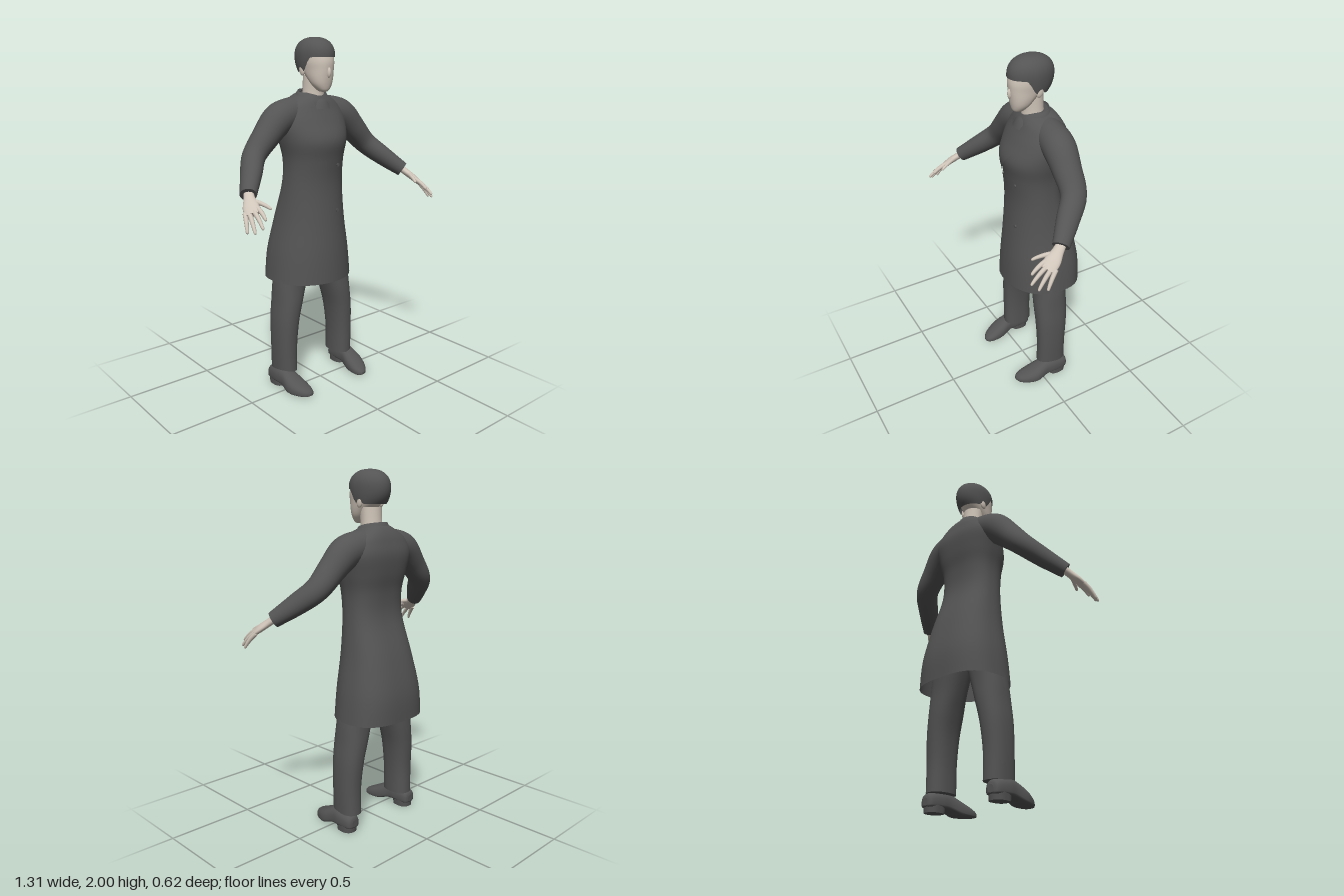
import * as THREE from 'three';

const cloth = new THREE.MeshStandardMaterial({ color: 0x545455, side: THREE.DoubleSide });
cloth.name = 'dark grey';
const skin = new THREE.MeshStandardMaterial({ color: 0xd0c5b9 });
skin.name = 'skin';
const V = (x, y, z) => new THREE.Vector3(x, y, z);
const spow = (v, e) => Math.sign(v) * Math.pow(Math.abs(v), e);

// Surface through rows of points; wrap joins each row into a ring
function grid(rows, wrap = true, caps = [false, false]) {
  const n = rows[0].length, pos = rows.flat().flatMap(p => [p.x, p.y, p.z]), idx = [];
  for (let i = 0; i < rows.length - 1; i++)
    for (let j = 0; j < (wrap ? n : n - 1); j++) {
      const k = (j + 1) % n, a = i * n + j, b = a + n, c = i * n + k, d = c + n;
      idx.push(a, b, c, c, b, d);
    }
  [0, rows.length - 1].forEach((r, e) => {
    if (!caps[e]) return;
    const start = pos.length / 3, mid = V(0, 0, 0);
    rows[r].forEach(p => { mid.addScaledVector(p, 1 / n); pos.push(p.x, p.y, p.z); });
    pos.push(mid.x, mid.y, mid.z);
    for (let j = 0; j < n; j++) {
      const a = start + j, b = start + (j + 1) % n;
      idx.push(start + n, ...(e ? [b, a] : [a, b]));
    }
  });
  const g = new THREE.BufferGeometry();
  g.setAttribute('position', new THREE.Float32BufferAttribute(pos, 3));
  g.setIndex(idx);
  g.computeVertexNormals();
  return g;
}

function mirrored(g) {
  const m = g.clone().scale(-1, 1, 1);
  const ix = m.index.array;
  for (let i = 0; i < ix.length; i += 3) [ix[i], ix[i + 1]] = [ix[i + 1], ix[i]];
  m.computeVertexNormals();
  return m;
}

// Smoothly fill in extra sections between the given ones
function smooth(keys, steps = 5) {
  const out = [], at = i => keys[Math.min(Math.max(i, 0), keys.length - 1)];
  for (let i = 0; i < keys.length - 1; i++)
    for (let s = 0; s < steps; s++) {
      const t = s / steps;
      out.push(keys[i].map((b, k) => {
        const a = at(i - 1)[k], c = at(i + 1)[k], d = at(i + 2)[k];
        return b + 0.5 * t * (c - a + t * (2 * a - 5 * b + 4 * c - d + t * (3 * (b - c) + d - a)));
      }));
    }
  out.push(keys.at(-1));
  return out;
}

// Upright body from sections [y, centre x, half width, front z, back z]
const split = (f, b) => f * 0.45 + b * 0.55;
function upright(sections, nf = 2, nb = 2, caps = [true, true], seg = 40) {
  return grid(sections.map(([y, cx, rx, f, b]) => Array.from({ length: seg }, (_, j) => {
    const a = j / seg * Math.PI * 2, s = Math.sin(a), e = 2 / (s >= 0 ? nf : nb), m = split(f, b);
    return V(cx + rx * spow(Math.cos(a), e), y, m + (s >= 0 ? f - m : m - b) * spow(s, e));
  })), true, caps);
}

// Limb along a path of [x, y, z, radius across, radius through]; side sets the across direction
function limb(keys, side, seg = 20, steps = 5) {
  const pts = smooth(keys, steps);
  return grid(pts.map((p, i) => {
    const q = pts[Math.max(i - 1, 0)], r = pts[Math.min(i + 1, pts.length - 1)];
    const t = V(r[0] - q[0], r[1] - q[1], r[2] - q[2]).normalize();
    const n = side.clone().addScaledVector(t, -side.dot(t)).normalize(), b = t.clone().cross(n);
    return Array.from({ length: seg }, (_, j) => {
      const a = j / seg * Math.PI * 2;
      return V(p[0], p[1], p[2]).addScaledVector(n, p[3] * Math.cos(a)).addScaledVector(b, -p[4] * Math.sin(a));
    });
  }), true, [true, true]);
}

const coatSections = smooth([
  [0.64, 0, 0.255, 0.115, -0.31], [0.8, 0, 0.238, 0.108, -0.305], [1.0, 0, 0.203, 0.09, -0.26],
  [1.2, 0, 0.18, 0.077, -0.195], [1.34, 0, 0.178, 0.09, -0.19], [1.45, 0, 0.2, 0.105, -0.21],
  [1.55, 0, 0.215, 0.065, -0.22], [1.62, 0, 0.19, 0.032, -0.205], [1.66, 0, 0.145, 0.018, -0.19],
  [1.69, 0, 0.095, 0.0, -0.17], [1.705, 0, 0.07, -0.015, -0.15]]);

// Depth of the coat's front (or back) at a given x and y
function coatZ(x, y, back = false) {
  const i = Math.max(coatSections.findIndex(s => s[0] >= y), 1);
  const p = coatSections[i - 1], q = coatSections[i], t = (y - p[0]) / (q[0] - p[0]);
  const [, , rx, f, b] = p.map((v, k) => v + (q[k] - v) * t);
  const m = split(f, b), n = back ? 2.7 : 2.1;
  const h = Math.pow(1 - Math.pow(Math.min(Math.abs(x / rx), 1), n), 1 / n);
  return back ? m - (m - b) * h : m + (f - m) * h;
}

// Thin cloth layer lying on the coat between two edges of [x, y] points
function layer(left, right, back = false, lift = 0.006) {
  const a = smooth(left, 8), b = smooth(right, 8);
  return grid(a.map((p, i) => Array.from({ length: 9 }, (_, j) => {
    const t = j / 8, x = p[0] + (b[i][0] - p[0]) * t, y = p[1] + (b[i][1] - p[1]) * t;
    return V(x, y, coatZ(x, y, back) + (back ? -lift : lift));
  })), false);
}

export function createModel() {
  const root = new THREE.Group();
  const add = (name, geo, mat) => {
    const m = new THREE.Mesh(geo, mat);
    m.name = name;
    root.add(m);
    return m;
  };
  const pair = (name, geo, mat) => {
    add('left ' + name, geo, mat);
    add('right ' + name, mirrored(geo), mat);
  };

  // Coat with open hem, lapels, front overlap and back vent
  add('coat', upright(coatSections, 2.1, 2.7, [false, true], 56), cloth);
  add('left lapel', layer([[-0.09, 1.34], [-0.066, 1.44], [-0.02, 1.535], [0.07, 1.68]],
    [[-0.08, 1.34], [0.0, 1.44], [0.09, 1.56], [0.115, 1.66]]), cloth);
  add('right lapel', layer([[-0.1, 1.36], [-0.11, 1.44], [-0.115, 1.56], [-0.115, 1.66]],
    [[-0.09, 1.36], [-0.066, 1.44], [-0.025, 1.53], [-0.07, 1.68]], false, 0.004), cloth);
  add('front overlap', layer([[-0.095, 0.642], [-0.092, 1.0], [-0.09, 1.34]],
    [[0.0, 0.642], [0.0, 1.0], [-0.03, 1.34]], false, 0.005), cloth);
  add('back vent', layer([[-0.015, 0.642], [-0.015, 0.9]], [[0.03, 0.642], [0.015, 0.9]], true, 0.004), cloth);
  for (const y of [1.05, 1.31]) {
    const button = add('button', new THREE.CylinderGeometry(0.009, 0.009, 0.008, 12).rotateX(Math.PI / 2), cloth);
    button.position.set(0.06, y, coatZ(0.06, y) + 0.003);
  }

  // Folded collar around the back of the neck, and shirt neckband
  add('collar', grid([[0.078, 0], [0.085, 0.012], [0.1, -0.015], [0.118, -0.04]].map(([r, dy]) =>
    Array.from({ length: 33 }, (_, j) => {
      const a = (j / 16 - 1) * 2.35, u = Math.abs(a) / 2.35;
      return V(r * Math.sin(a), 1.71 + dy - 0.035 * u * u, -0.07 - r * 0.9 * Math.cos(a));
    })), false), cloth);
  add('shirt neckband', upright(smooth([[1.62, 0, 0.1, 0.045, -0.15], [1.655, 0, 0.078, 0.028, -0.13],
    [1.675, 0, 0.068, 0.01, -0.125]], 3)), cloth);

  // Sleeves
  pair('sleeve', limb([[0.05, 1.615, -0.1, 0.075, 0.075], [0.14, 1.595, -0.095, 0.086, 0.085],
    [0.225, 1.565, -0.088, 0.088, 0.088], [0.31, 1.485, -0.08, 0.078, 0.075],
    [0.4, 1.39, -0.065, 0.07, 0.062], [0.475, 1.31, 0.015, 0.062, 0.054],
    [0.555, 1.23, 0.105, 0.046, 0.042]], V(0, 0.2, 1), 28), cloth);

  // Hands: flat palm, four fingers and a thumb
  const across = V(0.8, -0.35, -0.45);
  pair('palm', limb([[0.545, 1.245, 0.09, 0.026, 0.022], [0.565, 1.215, 0.128, 0.03, 0.02],
    [0.585, 1.185, 0.17, 0.042, 0.019], [0.6, 1.155, 0.21, 0.04, 0.014]], across, 18), skin);
  const fingers = [
    ['index finger', [0.567, 1.178, 0.208], [0.574, 1.135, 0.285]],
    ['middle finger', [0.59, 1.165, 0.208], [0.605, 1.1, 0.305]],
    ['ring finger', [0.61, 1.152, 0.198], [0.635, 1.077, 0.28]],
    ['little finger', [0.625, 1.145, 0.182], [0.652, 1.072, 0.237]],
    ['thumb', [0.56, 1.205, 0.15], [0.517, 1.178, 0.252]]];
  for (const [name, a, b] of fingers) {
    const at = (t, r, up = 0) => [...a.map((v, k) => v + (b[k] - v) * t + (k === 1 ? up : 0)), r, r];
    pair(name, limb([at(-0.15, 0.013), at(0.35, 0.012, 0.007), at(0.75, 0.0095, 0.005),
      at(0.95, 0.007), at(1, 0.002)], across, 10, 3), skin);
  }

  // Trousers
  pair('trouser leg', upright(smooth([[0.1, 0.21, 0.061, 0.01, -0.168], [0.25, 0.211, 0.064, 0.01, -0.166],
    [0.4, 0.202, 0.071, 0.015, -0.176], [0.52, 0.181, 0.081, 0.017, -0.182],
    [0.64, 0.157, 0.095, 0.012, -0.182], [0.8, 0.12, 0.105, 0.02, -0.19], [0.95, 0.09, 0.095, 0.02, -0.17]]),
    2.3, 2.3), cloth);

  // Shoes from sections [z, centre x, half width, bottom, top], with separate heels
  const shoe = smooth([[-0.167, 0.236, 0.018, 0.035, 0.075], [-0.152, 0.236, 0.042, 0.025, 0.1],
    [-0.08, 0.236, 0.05, 0.025, 0.118], [-0.02, 0.234, 0.049, 0.022, 0.116], [0.05, 0.229, 0.06, 0.001, 0.086],
    [0.11, 0.217, 0.052, 0, 0.058], [0.15, 0.207, 0.032, 0.002, 0.038], [0.165, 0.203, 0.01, 0.008, 0.022]]);
  pair('shoe', grid(shoe.map(([z, cx, w, lo, hi]) => Array.from({ length: 28 }, (_, j) => {
    const a = -j / 28 * Math.PI * 2, s = Math.sin(a), e = s < 0 ? 0.5 : 0.85;
    return V(cx + w * spow(Math.cos(a), e), lo + (hi - lo) * (0.35 + (s < 0 ? 0.35 : 0.65) * spow(s, e)), z);
  })), true, [true, true]), cloth);
  pair('shoe heel', upright([[0, 0.236, 0.045, -0.05, -0.16], [0.045, 0.236, 0.047, -0.045, -0.164]], 3, 2.2), cloth);

  // Neck and head
  add('neck', upright(smooth([[1.62, 0, 0.07, 0.01, -0.14], [1.7, 0, 0.06, 0.0, -0.12],
    [1.8, 0, 0.06, 0.01, -0.115]], 4)), skin);
  add('head', upright(smooth([[1.712, 0, 0.016, 0.045, 0.005], [1.722, 0, 0.034, 0.056, -0.01],
    [1.75, 0, 0.056, 0.064, -0.04], [1.785, 0, 0.069, 0.07, -0.075], [1.83, 0, 0.078, 0.075, -0.12],
    [1.88, 0, 0.086, 0.075, -0.15], [1.94, 0, 0.08, 0.055, -0.14], [1.98, 0, 0.045, 0.0, -0.09]]), 2.2, 2), skin);
  const nose = add('nose', new THREE.SphereGeometry(1, 16, 12).scale(0.011, 0.028, 0.014), skin);
  nose.position.set(0, 1.815, 0.072);
  pair('ear', new THREE.SphereGeometry(1, 16, 12).scale(0.011, 0.032, 0.02).rotateX(-0.2).translate(0.083, 1.828, -0.055), skin);

  // Hair: rounded cap whose lower edge drops from the forehead to the nape
  const hairRows = Array.from({ length: 19 }, (_, i) => Array.from({ length: 48 }, (_, j) => {
    const a = j / 48 * Math.PI * 2, s = Math.sin(a), sideburn = (s + 0.1) / 0.15;
    const edge = 1.815 + 0.08 * THREE.MathUtils.smoothstep(s, 0.1, 0.55) + 0.03 * Math.exp(-sideburn * sideburn);
    const y = edge + (2.0 - edge) * Math.sin(i / 18 * Math.PI / 2);
    const up = y >= 1.9, d = Math.min(Math.abs(y - 1.9) / (up ? 0.1 : 0.125), 1), n = up ? 2.3 : 2;
    const k = Math.pow(1 - Math.pow(d, n), 1 / n);
    return V(0.098 * (up ? k : 1 - (1 - k) * 0.4) * Math.cos(a), y, -0.048 + 0.128 * k * s);
  }));
  add('hair', grid(hairRows), cloth);
  return root;
}
